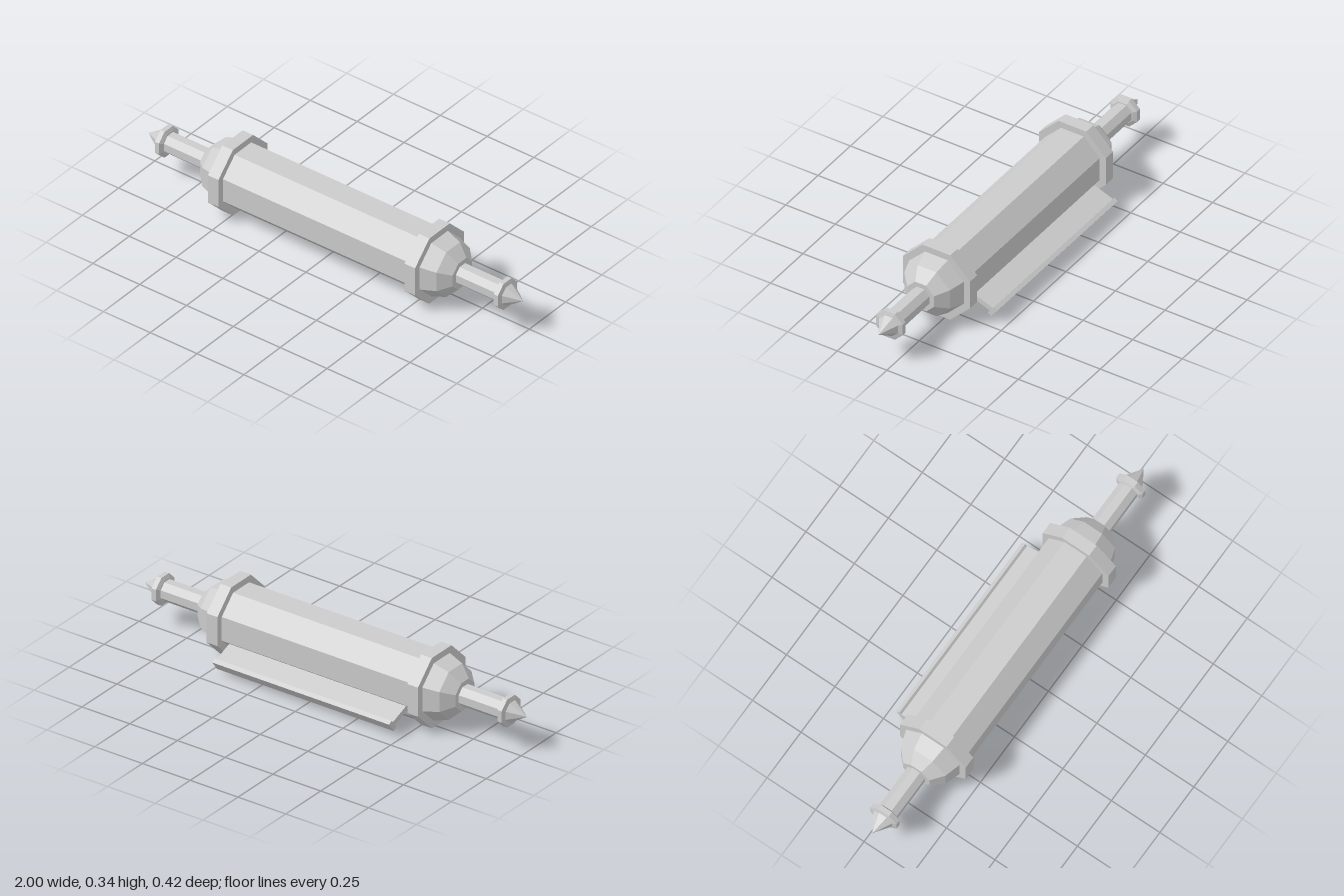
import * as THREE from 'three';

const AXIS_Y = 0.17, AXIS_Z = 0.042;
const material = new THREE.MeshStandardMaterial({ color: 0xcccccc, flatShading: true });

// Octagonal turned part along x; profile is [x, half width across flats]
function turned(name, profile, side = 1) {
  const points = profile.map(([x, a]) => new THREE.Vector2(a / Math.cos(Math.PI / 8), x));
  let geometry = new THREE.LatheGeometry(points, 8, Math.PI / 8).toNonIndexed();
  geometry.rotateZ(-side * Math.PI / 2);
  geometry.computeVertexNormals();
  const mesh = new THREE.Mesh(geometry, material);
  mesh.name = name;
  mesh.position.set(0, AXIS_Y, AXIS_Z);
  return mesh;
}

export function createModel() {
  const model = new THREE.Group();
  model.name = 'cylinderAssembly';

  // Long octagonal barrel
  model.add(turned('barrel', [[-0.5, 0.138], [0.5, 0.138]]));

  // Matching ends
  for (const [label, side] of [['left', 1], ['right', -1]]) {
    const end = new THREE.Group();
    end.name = label + 'End';
    end.add(
      turned('collar', [[0.497, 0], [0.497, 0.169], [0.553, 0.169], [0.553, 0]], side),
      turned('domedCap', [[0.553, 0.138], [0.625, 0.115], [0.675, 0.067], [0.675, 0]], side),
      turned('shaft', [[0.67, 0.045], [0.89, 0.045]], side),
      turned('knob', [[0.885, 0], [0.885, 0.05], [0.894, 0.067], [0.916, 0.067], [0.922, 0.047], [1, 0]], side),
    );
    model.add(end);
  }

  // T-section fin along the lower back, outlined in (-z, y)
  const outline = [
    [0.065, 0.115], [0.184, 0.07], [0.193, 0.081], [0.21, 0.069],
    [0.177, 0.024], [0.159, 0.036], [0.168, 0.05], [0.06, 0.092],
  ].map(([u, y]) => new THREE.Vector2(u, y));
  const length = 0.926;
  const finGeometry = new THREE.ExtrudeGeometry(new THREE.Shape(outline), { depth: length, bevelEnabled: false });
  finGeometry.translate(0, 0, -length / 2);
  finGeometry.rotateY(Math.PI / 2);
  const fin = new THREE.Mesh(finGeometry, material);
  fin.name = 'rearFin';
  model.add(fin);

  return model;
}
